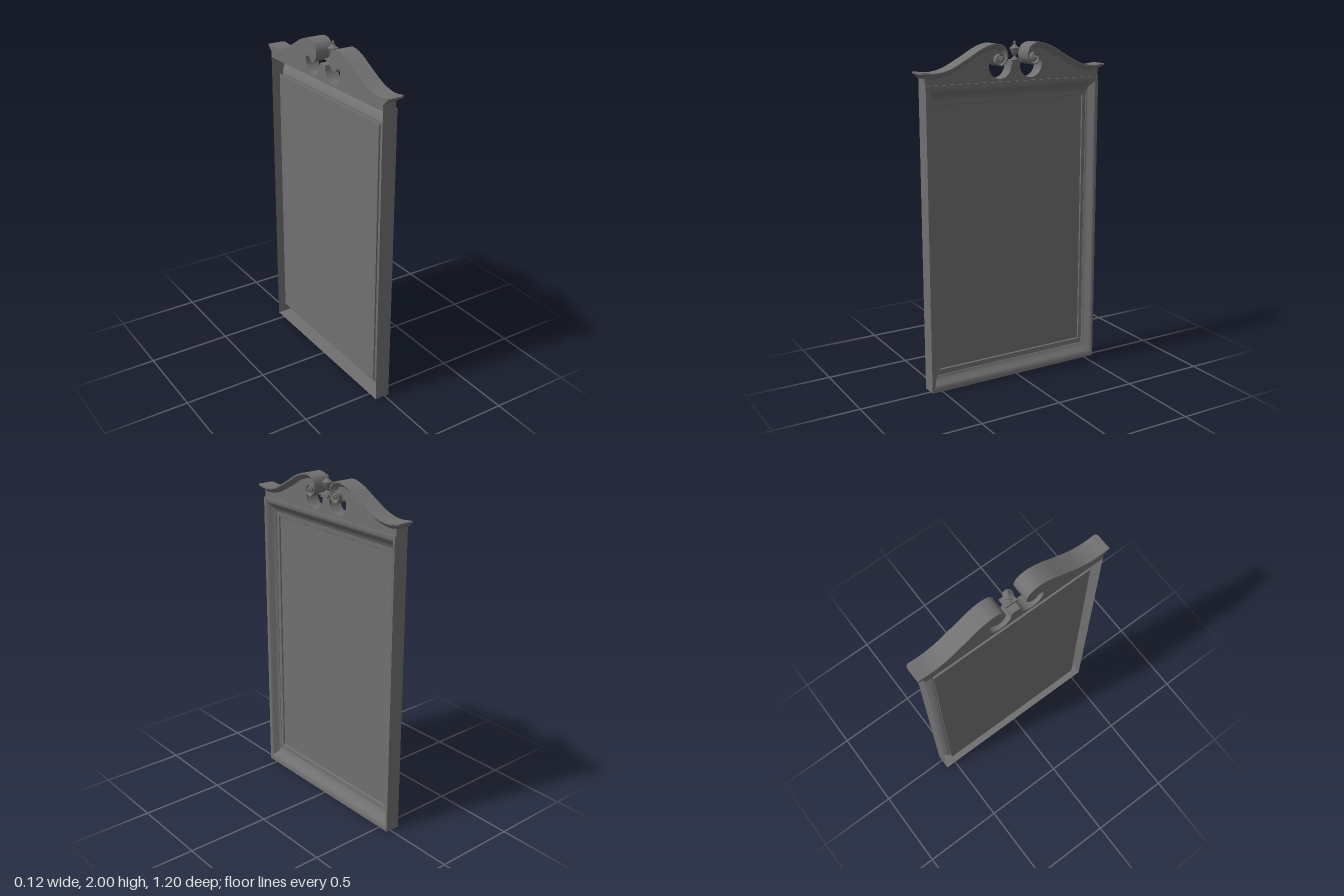
import * as THREE from 'three';
import { toCreasedNormals } from 'three/addons/utils/BufferGeometryUtils.js';

const material = new THREE.MeshStandardMaterial({ color: 0x707070 });
const sheetMaterial = new THREE.MeshStandardMaterial({ color: 0x707070, side: THREE.DoubleSide });

// Joins equal-length closed rows of points into a skin
function skin(rows, { flip = false, caps = false, crease = 0.6 }) {
  const n = rows[0].length, index = [];
  const quad = (a, b, c, d) => flip ? index.push(a, c, b, a, d, c) : index.push(a, b, c, a, c, d);
  for (let r = 0; r < rows.length - 1; r++) {
    for (let i = 0; i < n; i++) {
      const j = (i + 1) % n;
      quad(r * n + i, r * n + j, (r + 1) * n + j, (r + 1) * n + i);
    }
  }
  if (caps) {
    const last = (rows.length - 1) * n;
    for (let i = 0; i < n / 2 - 1; i++) {
      quad(i, n - 1 - i, n - 2 - i, i + 1);
      quad(last + i, last + i + 1, last + n - 2 - i, last + n - 1 - i);
    }
  }
  const g = new THREE.BufferGeometry();
  g.setAttribute('position', new THREE.Float32BufferAttribute(rows.flat(2), 3));
  g.setIndex(index);
  return toCreasedNormals(g, crease);
}

// Pediment top line: from the outer end up over the scroll and into its eye
const scrollCurve = new THREE.CatmullRomCurve3([
  [0.60, 1.848], [0.51, 1.842], [0.43, 1.858], [0.32, 1.912], [0.22, 1.967], [0.14, 1.988],
  [0.088, 1.972], [0.065, 1.93], [0.073, 1.885], [0.107, 1.862], [0.14, 1.882], [0.138, 1.915],
  [0.11, 1.93], [0.086, 1.91], [0.093, 1.888], [0.11, 1.886],
].map(([x, y]) => new THREE.Vector3(x, y, 0)), false, 'centripetal');
const SAMPLES = 120;
const scroll = Array.from({ length: SAMPLES + 1 }, (_, i) => {
  const t = i / SAMPLES, p = scrollCurve.getPoint(t), d = scrollCurve.getTangent(t);
  // inward normal lies to the left of travel
  return { t, x: p.x, y: p.y, nx: -d.y, ny: d.x };
}).filter((s) => s.t > 0.2 || s.x < 0.55);

// Crown moulding section: forward projection and drop below the top line
const crown = [[0.03, 0], [0.03, 0.009], [0.022, 0.013], [0.012, 0.02], [0.006, 0.03], [0, 0.034]];
const crownBack = crown.slice().reverse();

function crownGeometry(side) {
  const rows = [];
  // rounded return at the outer end
  const r = 0.018;
  for (let k = 0; k <= 4; k++) {
    const a = (k / 4) * Math.PI / 2;
    const point = ([e, o], z) => [side * (0.57 + e - r * (1 - Math.cos(a))), 1.848 - o, z];
    rows.push([
      ...crown.map((c) => point(c, 0.016 + c[0] - r * (1 - Math.sin(a)))),
      ...crownBack.map((c) => point(c, -0.062)),
    ]);
  }
  // run along the top and into the scroll, growing slimmer
  for (const s of scroll) {
    const size = THREE.MathUtils.lerp(1, 0.35, THREE.MathUtils.smoothstep(s.t, 0.35, 0.85));
    const point = (o, z) => [side * (s.x + s.nx * o * size), s.y + s.ny * o * size, z];
    rows.push([
      ...crown.map(([e, o]) => point(o, 0.016 + e)),
      ...crownBack.map(([, o]) => point(o, -0.062)),
    ]);
  }
  return skin(rows, { flip: side > 0, caps: true });
}

// Pediment board with scroll ends, round cut-outs and centre post
function pedimentGeometry() {
  const half = [[0.565, 1.775], [0.565, 1.828]];
  for (const s of scroll) {
    if (s.t < 0.36) half.push([s.x + s.nx * 0.015, s.y + s.ny * 0.015]);
  }
  half.push([0.10, 1.965], [0.078, 1.94], [0.073, 1.905], [0.085, 1.878], [0.108, 1.867],
    [0.135, 1.877], [0.155, 1.888]);
  for (let i = 0; i <= 24; i++) {
    const a = 0.25 - (i / 24) * (Math.PI + 0.35);
    half.push([0.1 + 0.072 * Math.cos(a), 1.862 + 0.072 * Math.sin(a)]);
  }
  half.push([0.026, 1.877]);
  const mirrored = half.slice().reverse().map(([x, y]) => [-x, y]);
  const shape = new THREE.Shape([...half, ...mirrored].map(([x, y]) => new THREE.Vector2(x, y)));
  const g = new THREE.ExtrudeGeometry(shape, { depth: 0.08, bevelEnabled: false });
  g.translate(0, 0, -0.062);
  return toCreasedNormals(g, 0.5);
}

// Mitred frame section: share of the border width, and depth
const frameProfile = [
  [0, -0.062], [0, 0.028], [0.12, 0.028], [0.22, 0.025], [0.32, 0.017], [0.42, 0.006], [0.52, -0.005],
  [0.62, -0.013], [0.72, -0.018], [0.73, -0.021], [0.86, -0.023], [0.97, -0.024], [1, -0.029], [1, -0.038],
];

function frameGeometry() {
  const rows = frameProfile.map(([t, z]) => {
    const x = THREE.MathUtils.lerp(0.565, 0.487, t);
    const low = THREE.MathUtils.lerp(0, 0.117, t), high = THREE.MathUtils.lerp(1.775, 1.66, t);
    return [[-x, low, z], [x, low, z], [x, high, z], [-x, high, z]];
  });
  return skin(rows, { crease: 0.8 });
}

export function createModel() {
  const model = new THREE.Group();
  model.name = 'wallMirror';
  const add = (name, geometry, x = 0, y = 0, z = 0, mat = material) => {
    const mesh = new THREE.Mesh(geometry, mat);
    mesh.name = name;
    mesh.position.set(x, y, z);
    model.add(mesh);
    return mesh;
  };

  add('frame', frameGeometry(), 0, 0, 0, sheetMaterial);
  add('mirrorPanel', new THREE.BoxGeometry(1.014, 1.59, 0.01), 0, 0.888, -0.038);
  add('pediment', pedimentGeometry());

  // Scroll mouldings and their rosettes
  for (const side of [1, -1]) {
    const label = side > 0 ? 'right' : 'left';
    add(label + 'CrownMoulding', crownGeometry(side));
    const eye = new THREE.CylinderGeometry(0.022, 0.034, 0.098, 24);
    add(label + 'ScrollEye', eye, side * 0.107, 1.9, -0.013).rotation.x = Math.PI / 2;
    const button = new THREE.SphereGeometry(0.01, 14, 8, 0, Math.PI * 2, 0, Math.PI / 2);
    add(label + 'RosetteButton', button, side * 0.107, 1.902, 0.048).rotation.x = Math.PI / 2;
    for (let i = 0; i < 6; i++) {
      const a = (i / 6) * Math.PI * 2;
      add(label + 'RosettePetal', new THREE.SphereGeometry(0.007, 10, 8),
        side * 0.107 + 0.012 * Math.cos(a), 1.902 + 0.012 * Math.sin(a), 0.043);
    }
  }

  // Finial on its square plinth
  add('finialPlinth', new THREE.BoxGeometry(0.056, 0.012, 0.056), 0, 1.88, 0.006);
  add('finialPlinthCap', new THREE.BoxGeometry(0.074, 0.009, 0.056), 0, 1.889, 0.006);
  const urn = [
    [0, 1.89], [0.022, 1.893], [0.02, 1.9], [0.009, 1.906], [0.007, 1.914], [0.014, 1.922], [0.021, 1.935],
    [0.025, 1.95], [0.028, 1.953], [0.028, 1.959], [0.02, 1.963], [0.012, 1.972], [0.006, 1.98],
    [0.008, 1.987], [0.004, 1.995], [0, 2],
  ].map(([r, y]) => new THREE.Vector2(r, y));
  add('finialUrn', toCreasedNormals(new THREE.LatheGeometry(urn, 20), 0.7), 0, 0, 0.006);

  // The glass faces +x
  model.rotation.y = Math.PI / 2;
  const root = new THREE.Group();
  root.name = 'mirror';
  root.add(model);
  return root;
}
